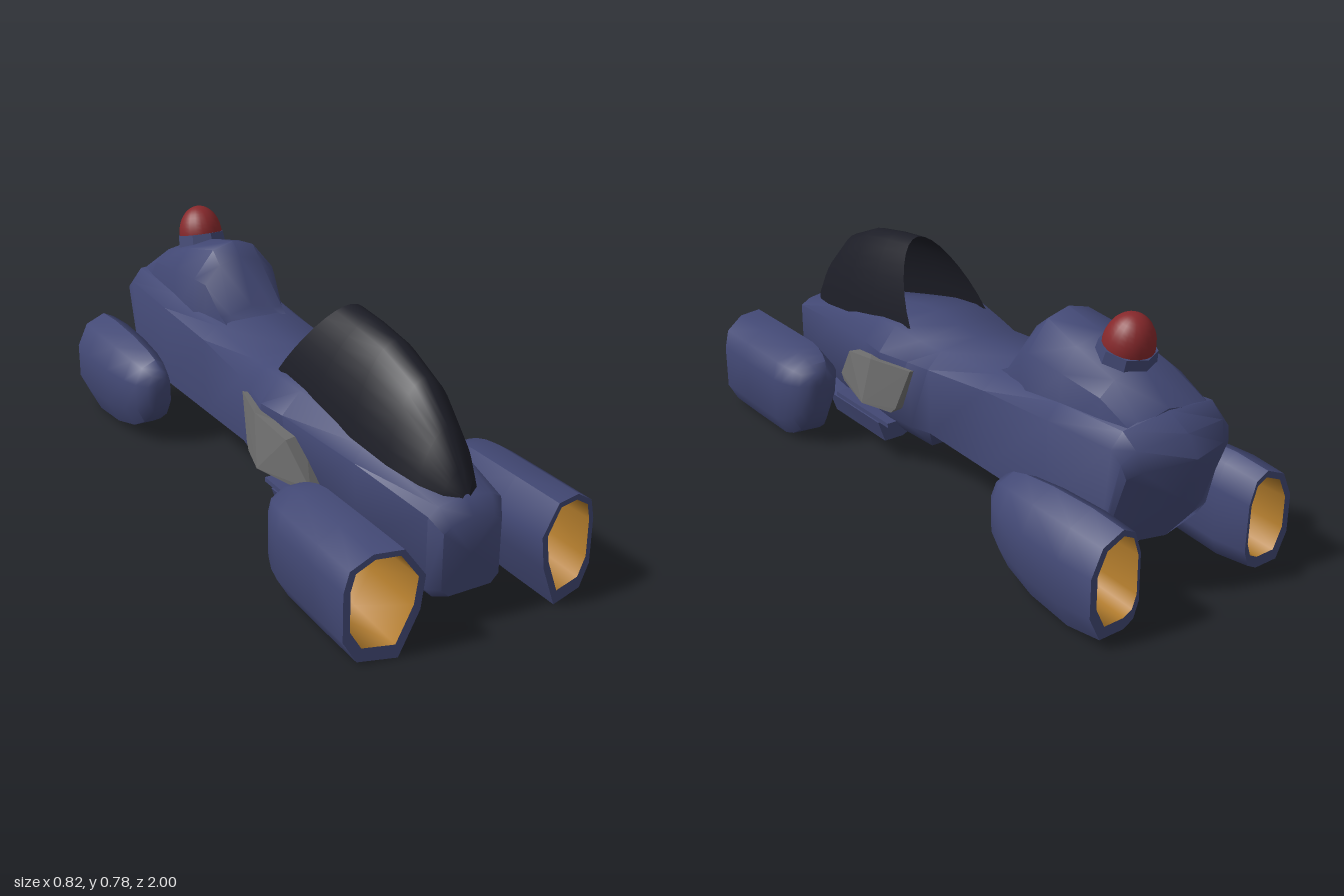
import * as THREE from 'three';
import { toCreasedNormals } from 'three/addons/utils/BufferGeometryUtils.js';
import { ConvexGeometry } from 'three/addons/geometries/ConvexGeometry.js';

const mat = (color, extra = {}) => new THREE.MeshStandardMaterial({ color, ...extra });
const V = (x, y, z) => new THREE.Vector3(x, y, z);

// Skin a list of cross-sections (counter-clockwise seen from +z)
function loft(rings, { closed = true, capStart = false, capEnd = false, crease = 0.6 } = {}) {
  const n = rings[0].length, pos = [], idx = [];
  rings.forEach(r => r.forEach(p => pos.push(p.x, p.y, p.z)));
  const flip = rings[0][0].z > rings[rings.length - 1][0].z;
  const tri = (a, b, c) => (flip ? idx.push(a, c, b) : idx.push(a, b, c));
  for (let i = 0; i < rings.length - 1; i++) {
    for (let j = 0; j < (closed ? n : n - 1); j++) {
      const k = (j + 1) % n, a = i * n + j, b = i * n + k;
      tri(a, b, b + n);
      tri(a, b + n, a + n);
    }
  }
  // Caps fan out from the middle between two opposite points, keeping a centre ridge
  const cap = (r, start) => {
    const c = rings[r][0].clone().lerp(rings[r][Math.floor(n / 2)], 0.5);
    const ci = pos.push(c.x, c.y, c.z) / 3 - 1;
    for (let j = 0; j < n; j++) {
      const a = r * n + j, b = r * n + (j + 1) % n;
      start ? tri(ci, b, a) : tri(ci, a, b);
    }
  };
  if (capStart) cap(0, true);
  if (capEnd) cap(rings.length - 1, false);
  const g = new THREE.BufferGeometry();
  g.setAttribute('position', new THREE.Float32BufferAttribute(pos, 3));
  g.setIndex(idx);
  return toCreasedNormals(g, crease);
}

// Mirror a right-half outline (bottom to top) into a closed ring
function symmetric(half, zAt) {
  const all = [...half, ...half.slice().reverse().map(([x, y]) => [-x, y])];
  return all.map(([x, y]) => V(x, y, zAt(x, y)));
}

// Engine pod with an open mouth; rings are [z, scale], mouth first
function podParts({ outline, center, rings, zMouth, drift, depth }) {
  const [cx, cy] = center, dir = Math.sign(rings[0][0]);
  const ring = (s, zAt) => outline.map(([x, y]) => {
    const px = cx + (x - cx) * s + drift[0] * (1 - s);
    return V(px, cy + (y - cy) * s + drift[1] * (1 - s), zAt(px));
  });
  const s0 = rings[0][1];
  const skins = rings.map(([z, s], i) => ring(s, i ? () => z : zMouth));
  const lip = ring(s0 * 0.82, zMouth);
  const inner = [[0.78, 0.5], [0.66, 0.8], [0.4, 0.95], [0.15, 1]]
    .map(([s, d]) => ring(s0 * s, x => zMouth(x) - dir * depth * d));
  return {
    shell: loft([lip, ...skins], { capEnd: true, crease: 0.8 }),
    lining: loft([lip, ...inner], { capEnd: true, crease: 2 }),
  };
}

export function createModel() {
  const group = new THREE.Group();
  const blue = mat(0x424874, { side: THREE.DoubleSide });
  const amber = mat(0xb27c2c, { side: THREE.DoubleSide });
  const glass = mat(0x1c1d26, { side: THREE.DoubleSide });
  const red = mat(0x86282b), grey = mat(0x707070, { flatShading: true });
  const add = (name, geo, material, parent = group) => {
    const m = new THREE.Mesh(geo, material);
    m.name = name;
    parent.add(m);
    return m;
  };

  // Hull: z, top y, half | shoulder y, half | low side y, half | bottom y, half
  const hull = [
    [0.94, 0.33, 0.07, 0.30, 0.095, 0.13, 0.095, 0.105, 0.07],
    [0.90, 0.375, 0.085, 0.34, 0.12, 0.12, 0.12, 0.09, 0.095],
    [0.60, 0.44, 0.13, 0.38, 0.165, 0.16, 0.15, 0.09, 0.11],
    [0.30, 0.50, 0.165, 0.42, 0.225, 0.19, 0.20, 0.09, 0.12],
    [0.19, 0.51, 0.175, 0.42, 0.238, 0.19, 0.21, 0.095, 0.12],
    [0.07, 0.495, 0.16, 0.42, 0.212, 0.19, 0.20, 0.10, 0.12],
    [-0.02, 0.485, 0.145, 0.42, 0.195, 0.20, 0.19, 0.172, 0.15],
    [-0.30, 0.505, 0.14, 0.45, 0.19, 0.195, 0.19, 0.172, 0.155],
    [-0.60, 0.53, 0.155, 0.47, 0.195, 0.195, 0.195, 0.172, 0.165],
    [-0.87, 0.55, 0.165, 0.49, 0.20, 0.195, 0.20, 0.172, 0.17],
    [-0.945, 0.51, 0.16, 0.46, 0.20, 0.195, 0.195, 0.172, 0.16],
    [-0.985, 0.45, 0.15, 0.42, 0.19, 0.21, 0.18, 0.175, 0.15],
  ];
  // The tail leans forward towards the bottom and is swept back in the middle
  const tail = { 9: [0.1, 0], 10: [0.22, 0.15], 11: [0.36, 0.3] };
  const hullRings = hull.map(([z, ty, tx, sy, sx, ly, lx, by, bx], i) => {
    const [lean, sweep] = tail[i] || [0, 0];
    return symmetric([[0, by], [bx, by], [lx, ly], [sx, sy], [tx, ty - 0.015], [0, ty]],
      (x, y) => z + lean * (ty - y) + sweep * Math.abs(x));
  });
  add('hull', loft(hullRings, { capStart: true, capEnd: true, crease: 0.85 }), blue);

  // Rear engine hump: z, top y, half | shoulder y, half
  const hump = [
    [-0.27, 0.495, 0.09, 0.485, 0.11],
    [-0.32, 0.53, 0.08, 0.51, 0.115],
    [-0.40, 0.68, 0.075, 0.60, 0.13],
    [-0.45, 0.72, 0.075, 0.61, 0.148],
    [-0.60, 0.69, 0.10, 0.60, 0.15],
    [-0.76, 0.645, 0.10, 0.585, 0.15],
    [-0.87, 0.555, 0.10, 0.535, 0.145],
  ];
  const humpRings = hump.map(([z, ty, tx, sy, sx]) =>
    symmetric([[0, 0.44], [sx + 0.01, 0.44], [sx, sy], [tx, ty - 0.02], [0, ty]], () => z));
  add('rearHump', loft(humpRings, { capStart: true, capEnd: true, crease: 0.85 }), blue);

  // Canopy: z, half width, base y, height, backward rake of the lower edge
  const canopy = [
    [0.905, 0.012, 0.37, 0.01, 0],
    [0.875, 0.055, 0.375, 0.06, 0],
    [0.81, 0.09, 0.385, 0.15, 0],
    [0.70, 0.122, 0.405, 0.235, 0],
    [0.55, 0.142, 0.43, 0.27, 0],
    [0.42, 0.152, 0.46, 0.26, 0.06],
    [0.31, 0.15, 0.495, 0.235, 0.17],
  ];
  const canopyRings = canopy.map(([z, w, y, h, rake]) => Array.from({ length: 17 }, (_, i) => {
    const a = Math.PI * i / 16, s = Math.sin(a);
    return V(w * Math.cos(a) * (1 - 0.22 * s), y + h * s, z - rake * (1 - s));
  }));
  add('canopy', loft(canopyRings, { closed: false, crease: 1 }), glass);

  // Beacon on the hump
  const beacon = new THREE.Group();
  beacon.name = 'beacon';
  beacon.position.set(0, 0.655, -0.695);
  beacon.rotation.x = -0.25;
  group.add(beacon);
  const collar = new THREE.CylinderGeometry(0.083, 0.09, 0.06, 8);
  add('beaconCollar', toCreasedNormals(collar, 0.3), blue, beacon);
  const dome = new THREE.SphereGeometry(0.075, 20, 10, 0, Math.PI * 2, 0, Math.PI / 2);
  dome.scale(1, 1.3, 1);
  add('beaconDome', dome, red, beacon).position.y = 0.03;

  // Pods
  const frontPod = podParts({
    outline: [[0.41, 0.077], [0.41, 0.223], [0.394, 0.285], [0.332, 0.325], [0.25, 0.325],
      [0.19, 0.24], [0.203, 0.14], [0.26, 0.003], [0.372, 0.011]],
    center: [0.305, 0.165], drift: [0, 0.07], depth: 0.4,
    zMouth: x => 1 - 0.22 * Math.max(0, x - 0.2),
    rings: [[1, 1], [0.8, 1], [0.6, 0.99], [0.555, 0.93], [0.515, 0.81], [0.485, 0.66], [0.46, 0.44], [0.449, 0.22]],
  });
  const rearPod = podParts({
    outline: [[0.385, 0.1], [0.385, 0.23], [0.345, 0.315], [0.27, 0.348], [0.225, 0.325],
      [0.2, 0.25], [0.198, 0.09], [0.217, 0.035], [0.255, 0.015], [0.345, 0.015]],
    center: [0.293, 0.18], drift: [-0.04, 0.05], depth: 0.35,
    zMouth: () => -1,
    rings: [[-1, 0.92], [-0.88, 1], [-0.72, 0.95], [-0.6, 0.82], [-0.54, 0.67], [-0.5, 0.45], [-0.488, 0.25]],
  });

  // Side panel: two outer facets meeting at an upright ridge
  const panel = new ConvexGeometry([
    V(0.222, 0.4, 0.04), V(0.265, 0.4, 0.2), V(0.247, 0.37, 0.36), V(0.222, 0.25, 0.46),
    V(0.225, 0.23, 0.44), V(0.28, 0.235, 0.24), V(0.245, 0.235, 0.12), V(0.24, 0.255, 0.1),
    V(0.17, 0.39, 0.05), V(0.17, 0.37, 0.34), V(0.16, 0.24, 0.44), V(0.17, 0.24, 0.12),
  ]);

  // Sill under the front pod, tapering into the hull, with a thin plate on top
  const sill = loft([
    [0.23, [[0.1, 0.09], [0.13, 0.077], [0.2, 0.077], [0.225, 0.15], [0.16, 0.155]]],
    [0.54, [[0.1, 0.09], [0.13, 0.077], [0.2, 0.077], [0.225, 0.15], [0.16, 0.155]]],
    [0.69, [[0.1, 0.1], [0.115, 0.092], [0.135, 0.092], [0.16, 0.145], [0.13, 0.15]]],
  ].map(([z, pts]) => pts.map(([x, y]) => V(x, y, z))), { capStart: true, capEnd: true, crease: 0.4 });
  const plate = new THREE.BoxGeometry(0.07, 0.015, 0.32);
  plate.translate(0.185, 0.157, 0.34);

  for (const [label, side] of [['left', 1], ['right', -1]]) {
    const half = new THREE.Group();
    half.name = label + 'Side';
    half.scale.x = side;
    group.add(half);
    add(label + 'FrontPod', frontPod.shell, blue, half);
    add(label + 'FrontPodLining', frontPod.lining, amber, half);
    add(label + 'RearPod', rearPod.shell, blue, half);
    add(label + 'RearPodLining', rearPod.lining, amber, half);
    add(label + 'SidePanel', panel, grey, half);
    add(label + 'Sill', sill, blue, half);
    add(label + 'SillPlate', plate, blue, half);
  }
  return group;
}
